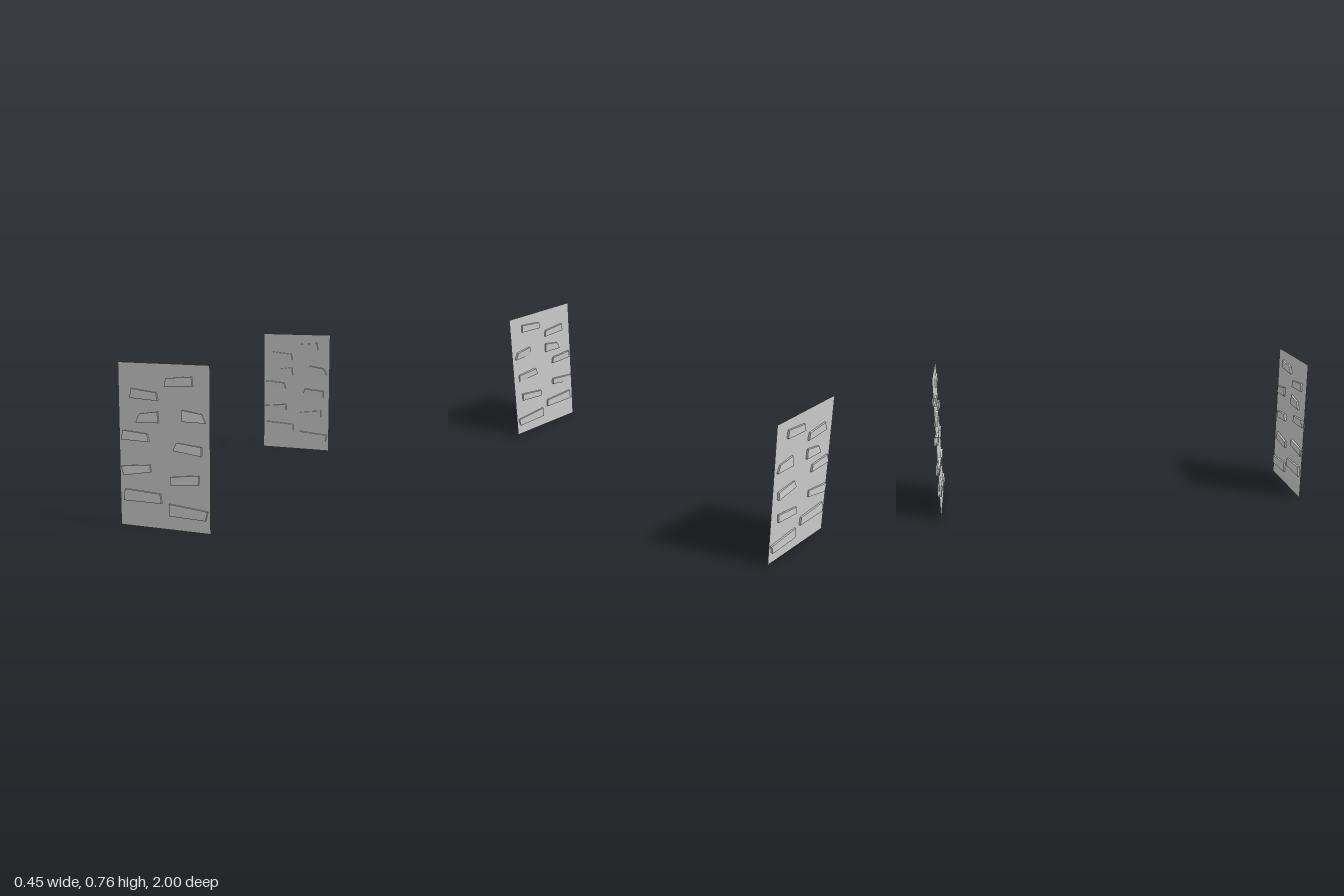
import * as THREE from 'three';

const WIDTH = 0.452, HEIGHT = 0.76, PANEL_Z = 0.986, THICK = 0.02;

// Four corners of each stone (anticlockwise from bottom left), then tilt about x and y
const STONES = [
  [[0.008, 0.658], [0.145, 0.664], [0.141, 0.707], [0.016, 0.695], -0.03, 0],
  [[-0.165, 0.599], [-0.026, 0.592], [-0.034, 0.629], [-0.159, 0.642], -0.03, 0],
  [[-0.137, 0.488], [-0.024, 0.491], [-0.028, 0.543], [-0.118, 0.528], -0.04, 0],
  [[0.093, 0.504], [0.206, 0.503], [0.187, 0.542], [0.094, 0.556], -0.08, 0.04],
  [[-0.211, 0.405], [-0.072, 0.401], [-0.081, 0.438], [-0.206, 0.448], -0.06, 0],
  [[0.048, 0.369], [0.186, 0.353], [0.187, 0.394], [0.063, 0.406], -0.1, -0.02],
  [[-0.202, 0.238], [-0.066, 0.262], [-0.07, 0.296], [-0.215, 0.28], -0.07, 0.03],
  [[0.032, 0.211], [0.171, 0.222], [0.173, 0.265], [0.032, 0.248], -0.05, 0],
  [[-0.203, 0.12], [-0.014, 0.12], [-0.019, 0.164], [-0.199, 0.174], -0.03, 0],
  [[0.024, 0.066], [0.204, 0.061], [0.214, 0.104], [0.024, 0.121], -0.03, 0],
];

// A flat four-sided block straddling the panel; side mirrors its tilt front to back
function makeStone([a, b, c, d, tiltX, tiltY], side, material) {
  const corners = [a, b, c, d].map(([x, y]) => new THREE.Vector2(x, y));
  const centre = corners.reduce((sum, p) => sum.add(p), new THREE.Vector2()).divideScalar(4);
  const shape = new THREE.Shape(corners.map((p) => p.clone().sub(centre)));
  const geometry = new THREE.ExtrudeGeometry(shape, { depth: THICK, bevelEnabled: false });
  geometry.translate(0, 0, -THICK / 2);
  const stone = new THREE.Mesh(geometry, material);
  stone.name = 'stone';
  stone.position.set(centre.x, centre.y, 0);
  stone.rotation.set(tiltX * side, tiltY * side, 0);
  return stone;
}

export function createModel() {
  const model = new THREE.Group();
  model.name = 'wallPanels';
  const stoneMaterial = new THREE.MeshStandardMaterial({ color: 0xcccccc, flatShading: true });
  const panelMaterial = new THREE.MeshStandardMaterial({ color: 0xcccccc, side: THREE.DoubleSide });

  for (const side of [1, -1]) {
    const wall = new THREE.Group();
    wall.name = side > 0 ? 'frontWall' : 'backWall';
    wall.position.z = side * PANEL_Z;

    // Thin upright sheet
    const panel = new THREE.Mesh(new THREE.PlaneGeometry(WIDTH, HEIGHT), panelMaterial);
    panel.name = 'panel';
    panel.position.y = HEIGHT / 2;
    if (side < 0) panel.rotation.y = Math.PI;
    wall.add(panel);

    // Stones showing on both faces of the sheet
    for (const spec of STONES) wall.add(makeStone(spec, side, stoneMaterial));
    model.add(wall);
  }
  return model;
}
